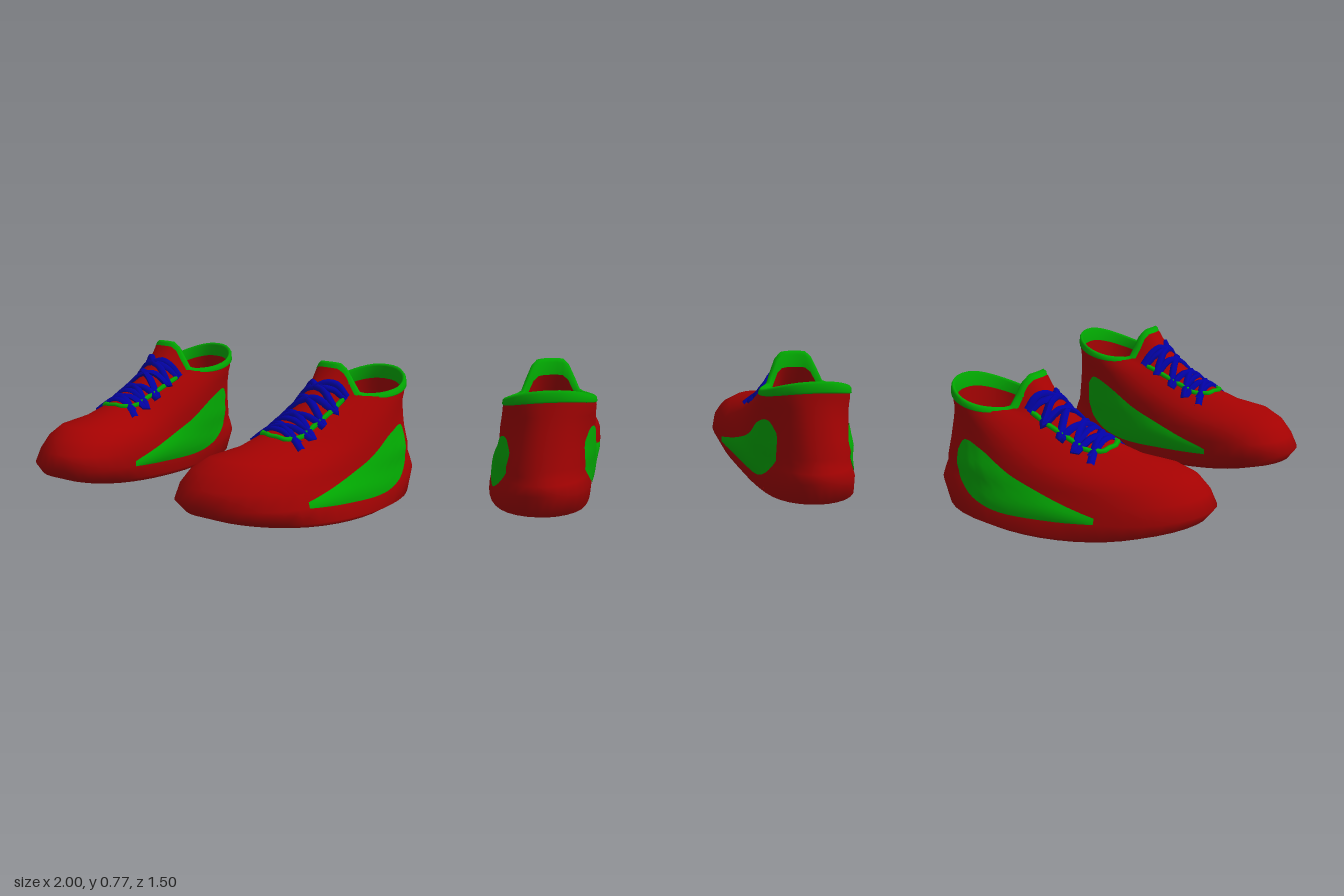
import * as THREE from 'three';

const red = new THREE.MeshStandardMaterial({ color: 0xa40202 });
red.name = 'upper red';
const green = new THREE.MeshStandardMaterial({ color: 0x02aa02, side: THREE.DoubleSide });
green.name = 'trim green';
const blue = new THREE.MeshStandardMaterial({ color: 0x0202a6 });
blue.name = 'lace blue';

const COLS = 40;

// Values are given at the back, middle and front of a ring
const blend = ([b, m, f], u) => b * (1 - 2 * u) * (1 - u) + m * 4 * u * (1 - u) + f * u * (2 * u - 1);

// One closed outline: z = [back, front]; y, centre c and half-width w = [back, middle, front];
// p sets how pointed the ends are, bump raises the tongue at the front
const ring = (z, y, c, w, p = 1.1, bump = 0) => ({ z, y, c, w, p, bump });

function ringPoint(r, t) {
  const cos = Math.cos(t), sin = Math.sin(t), u = (cos + 1) / 2;
  const side = Math.sign(sin) * Math.pow(Math.abs(sin), r.p);
  return [
    blend(r.c, u) + side * blend(r.w, u),
    blend(r.y, u) + r.bump * THREE.MathUtils.smoothstep(cos, 0.67, 0.97),
    THREE.MathUtils.lerp(r.z[0], r.z[1], u),
  ];
}

function gridGeometry(rows, cols, closed, point) {
  const pos = [], index = [];
  for (let j = 0; j < rows; j++) for (let i = 0; i < cols; i++) pos.push(...point(i, j));
  for (let j = 0; j < rows - 1; j++) {
    for (let i = 0; i < (closed ? cols : cols - 1); i++) {
      const k = (i + 1) % cols;
      const a = j * cols + i, b = j * cols + k, c = b + cols, d = a + cols;
      index.push(a, b, c, a, c, d);
    }
  }
  const g = new THREE.BufferGeometry();
  g.setAttribute('position', new THREE.Float32BufferAttribute(pos, 3));
  g.setIndex(index);
  g.computeVertexNormals();
  return g;
}

const loft = (rings) => gridGeometry(rings.length, COLS, true,
  (i, j) => ringPoint(rings[j], (i / COLS) * Math.PI * 2));

function add(group, name, geometry, material) {
  const mesh = new THREE.Mesh(geometry, material);
  mesh.name = name;
  group.add(mesh);
  return mesh;
}

function createShoe() {
  const shoe = new THREE.Group();
  const ankle = [0.67, 0.665, 0.65];

  // Sole and upper in one skin, from the middle of the sole to the ankle
  const body = add(shoe, 'upper', loft([
    ring([0, 0], [0, 0, 0], [0.68, 0.68, 0.68], [0, 0, 0]),
    ring([-0.6, 0.56], [0.035, 0.005, 0.04], [0.7, 0.71, 0.62], [0.3, 0.26, 0.34]),
    ring([-0.71, 0.7], [0.07, 0.03, 0.09], [0.7, 0.713, 0.59], [0.37, 0.285, 0.43]),
    ring([-0.75, 0.75], [0.19, 0.12, 0.15], [0.7, 0.692, 0.573], [0.4, 0.28, 0.5]),
    ring([-0.735, 0.715], [0.24, 0.2, 0.225], [0.7, 0.678, 0.575], [0.38, 0.266, 0.48]),
    ring([-0.72, 0.655], [0.275, 0.25, 0.3], [0.7, 0.676, 0.585], [0.36, 0.26, 0.43]),
    ring([-0.71, 0.56], [0.31, 0.295, 0.35], [0.7, 0.676, 0.605], [0.34, 0.256, 0.34], 1),
    ring([-0.695, 0.4], [0.4, 0.36, 0.378], [0.69, 0.673, 0.62], [0.27, 0.25, 0.2], 0.88),
    ring([-0.68, 0.22], [0.5, 0.43, 0.438], [0.68, 0.67, 0.63], [0.255, 0.247, 0.16], 0.88),
    ring([-0.672, 0.01], [0.58, 0.52, 0.545], [0.67, 0.667, 0.64], [0.24, 0.24, 0.155], 0.88),
    ring([-0.67, -0.12], [0.63, 0.57, 0.6], ankle, [0.237, 0.238, 0.16], 0.85, 0.06),
    ring([-0.667, -0.18], [0.69, 0.61, 0.61], ankle, [0.233, 0.234, 0.18], 0.85, 0.135),
  ]), red);

  // Padded collar rolling over the rim and the top of the tongue
  const innerRim = ring([-0.648, -0.238], [0.64, 0.565, 0.56], ankle, [0.212, 0.212, 0.17], 0.85, 0.13);
  add(shoe, 'collar', loft([
    ring([-0.669, -0.17], [0.655, 0.592, 0.6], ankle, [0.236, 0.238, 0.178], 0.85, 0.125),
    ring([-0.676, -0.18], [0.665, 0.597, 0.605], ankle, [0.242, 0.242, 0.185], 0.85, 0.13),
    ring([-0.675, -0.19], [0.705, 0.617, 0.612], ankle, [0.238, 0.238, 0.188], 0.85, 0.15),
    ring([-0.665, -0.206], [0.718, 0.628, 0.62], ankle, [0.228, 0.228, 0.183], 0.85, 0.153),
    ring([-0.652, -0.227], [0.705, 0.618, 0.612], ankle, [0.216, 0.215, 0.173], 0.85, 0.142),
    innerRim,
  ]), green);

  // Inside walls and insole
  add(shoe, 'lining', loft([
    innerRim,
    ring([-0.65, -0.13], [0.45, 0.4, 0.42], ankle, [0.215, 0.21, 0.15], 0.88),
    ring([-0.65, 0.12], [0.06, 0.06, 0.06], [0.68, 0.68, 0.66], [0.22, 0.22, 0.19], 0.88),
    ring([-0.25, -0.25], [0.05, 0.05, 0.05], [0.68, 0.68, 0.68], [0, 0, 0]),
  ]), red);

  // Finds where a straight line from outside meets the upper
  const caster = new THREE.Raycaster();
  const meet = (origin, direction) => {
    caster.set(new THREE.Vector3(...origin), new THREE.Vector3(...direction));
    const hit = caster.intersectObject(body)[0];
    return hit ? hit.point : null;
  };
  const onTop = (x, z, lift) => {
    const p = meet([x, 2, z], [0, -1, 0]);
    return new THREE.Vector3(x, (p ? p.y : 0.6) + lift, z);
  };

  // Curved side panels, tapering to the front; the inner one stands a little higher
  const spline = (pts) => new THREE.SplineCurve(pts.map((p) => new THREE.Vector2(...p)));
  const low = spline([[0.28, 0.12], [0.05, 0.105], [-0.25, 0.105], [-0.42, 0.15], [-0.53, 0.235], [-0.56, 0.32]]);
  const high = spline([[0.28, 0.15], [0.05, 0.205], [-0.2, 0.295], [-0.38, 0.4], [-0.5, 0.435], [-0.56, 0.37]]);
  for (const side of [1, -1]) {
    const raise = side > 0 ? 0 : 0.05;
    const panel = gridGeometry(9, 29, false, (i, j) => {
      const u = i / 28, v = j / 8;
      const q = low.getPoint(u).lerp(high.getPoint(u), v);
      const y = q.y + raise * u * v;
      const p = meet([0.67 + side, y, q.x], [-side, 0, 0]);
      const bulge = 0.005 + 0.018 * Math.sin(Math.PI * v) * Math.sin(Math.PI * u);
      return [(p ? p.x : 0.67 + side * 0.25) + side * bulge, y, q.x];
    });
    add(shoe, side > 0 ? 'outerPanel' : 'innerPanel', panel, green);
  }

  // Tubes lying on the upper, following points in plan (offset from the lacing line, z)
  const line = 0.645;
  const strip = (name, plan, radius, lift, material, steps) => {
    const pts = [];
    for (let k = 0; k < plan.length - 1; k++) {
      for (let s = 0; s < steps; s++) {
        const f = s / steps;
        const x = THREE.MathUtils.lerp(plan[k][0], plan[k + 1][0], f);
        const z = THREE.MathUtils.lerp(plan[k][1], plan[k + 1][1], f);
        pts.push(onTop(line + x, z, lift));
      }
    }
    const end = plan[plan.length - 1];
    pts.push(onTop(line + end[0], end[1], lift));
    const curve = new THREE.CatmullRomCurve3(pts);
    add(shoe, name, new THREE.TubeGeometry(curve, pts.length * 3, radius, 6), material);
  };

  // Trim around the throat
  strip('throatTrim', [[-0.135, -0.17], [-0.125, 0], [-0.115, 0.14], [-0.08, 0.21], [0, 0.235],
    [0.08, 0.21], [0.115, 0.14], [0.125, 0], [0.135, -0.17]], 0.015, 0, green, 2);

  // Two zigzag laces crossing on the centre line
  const eyelets = [0.185, 0.09, 0, -0.1, -0.19];
  const crossings = [0.145, 0.05, -0.045, -0.11];
  for (const side of [1, -1]) {
    const plan = [];
    eyelets.forEach((z, k) => {
      plan.push([side * (k % 2 ? -1 : 1) * (0.17 - k * 0.008), z]);
      if (k < crossings.length) plan.push([0, crossings[k]]);
    });
    strip('lace', plan, 0.023, -0.006, blue, 3);
  }

  // Bars bowed forward between opposite eyelets
  for (const [z, bow] of [[0.165, 0.01], [0.075, 0.015], [-0.18, 0.07]]) {
    strip('laceBar', [[-0.14, z], [-0.07, z + bow * 0.75], [0, z + bow], [0.07, z + bow * 0.75], [0.14, z]],
      0.02, -0.006, blue, 3);
  }
  return shoe;
}

// Mirrored copy with the corner order turned round
function mirror(shoe) {
  const copy = new THREE.Group();
  for (const part of shoe.children) {
    const g = part.geometry.clone().scale(-1, 1, 1);
    const idx = g.index.array;
    for (let i = 0; i < idx.length; i += 3) [idx[i], idx[i + 1]] = [idx[i + 1], idx[i]];
    g.computeVertexNormals();
    add(copy, part.name, g, part.material);
  }
  return copy;
}

export function createModel() {
  const model = new THREE.Group();
  model.name = 'pairOfShoes';
  const left = createShoe();
  left.name = 'leftShoe';
  const right = mirror(left);
  right.name = 'rightShoe';
  model.add(left, right);
  return model;
}
